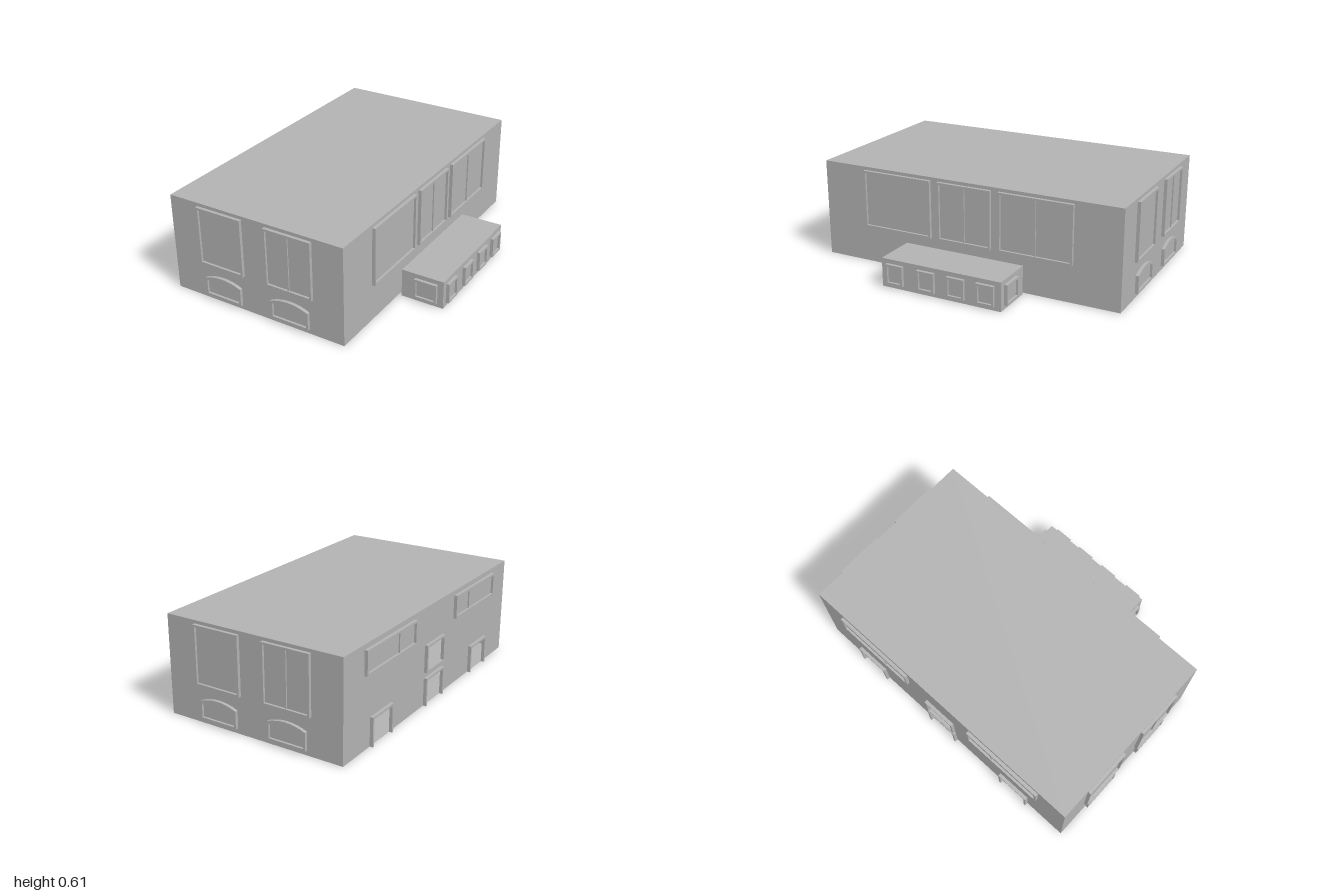
import * as THREE from 'three';

export function createModel() {
  const model = new THREE.Group();
  model.name = 'building';
  const grey = new THREE.MeshStandardMaterial({ color: 0xb2b2b2, side: THREE.DoubleSide });
  grey.name = 'plain grey';

  const X0 = -0.725, X1 = 0.43, Z = 0.98, H = 0.61, CX = (X0 + X1) / 2;
  const DEPTH = 0.02, RIM = 0.013;

  function add(parent, geometry, name, x = 0, y = 0, z = 0) {
    const mesh = new THREE.Mesh(geometry, grey);
    mesh.name = name;
    mesh.position.set(x, y, z);
    parent.add(mesh);
    return mesh;
  }

  // A side of the building: local x runs along it, local z points outwards
  function side(name, x, z, angle) {
    const g = new THREE.Group();
    g.name = name;
    g.position.set(x, 0, z);
    g.rotation.y = angle;
    model.add(g);
    return g;
  }

  // Outline with optional curved top
  function outline(Type, x0, x1, y0, y1, rise = 0) {
    const s = new Type();
    s.moveTo(x0, y0);
    s.lineTo(x1, y0);
    s.lineTo(x1, y1);
    if (rise) s.quadraticCurveTo((x0 + x1) / 2, y1 + rise * 2, x0, y1);
    else s.lineTo(x0, y1);
    s.closePath();
    return s;
  }

  const extrude = (shape, depth) =>
    new THREE.ExtrudeGeometry(shape, { depth, bevelEnabled: false, curveSegments: 8 });

  // Raised frame, with a pane and optional mullion
  function windowUnit(parent, name, c, w, y0, y1, { rise = 0, mullion = null, open = false } = {}) {
    const s = outline(THREE.Shape, c - w / 2, c + w / 2, y0, y1, rise);
    s.holes.push(outline(THREE.Path, c - w / 2 + RIM, c + w / 2 - RIM, y0 + RIM, y1 - RIM, rise));
    add(parent, extrude(s, DEPTH), name + 'Frame');
    if (!open) {
      const pane = outline(THREE.Shape, c - w / 2 + RIM, c + w / 2 - RIM, y0 + RIM, y1 - RIM, rise);
      add(parent, extrude(pane, 0.006), name + 'Pane');
    }
    if (mullion !== null) {
      add(parent, new THREE.BoxGeometry(0.008, y1 - y0 - 2 * RIM, 0.014),
        name + 'Mullion', mullion, (y0 + y1) / 2, 0.007);
    }
  }

  // Door surround: two posts and a lintel
  function doorFrame(parent, c, w, h) {
    for (const s of [-1, 1]) {
      add(parent, new THREE.BoxGeometry(RIM, h, DEPTH), 'doorPost',
        c + s * (w - RIM) / 2, h / 2, DEPTH / 2);
    }
    add(parent, new THREE.BoxGeometry(w - 2 * RIM, RIM, DEPTH), 'doorLintel', c, h - RIM / 2, DEPTH / 2);
  }

  // Thin wall with rectangular openings [centre, width, bottom, top]
  function wall(parent, half, openings) {
    const s = outline(THREE.Shape, -half, half, 0, H);
    for (const [c, w, y0, y1] of openings) {
      s.holes.push(outline(THREE.Path, c - w / 2, c + w / 2, y0, y1));
    }
    add(parent, new THREE.ShapeGeometry(s), 'wall');
  }

  // Roof and floor
  for (const [name, y, dir] of [['roof', H, -1], ['floor', 0, 1]]) {
    const slab = add(model, new THREE.PlaneGeometry(X1 - X0, 2 * Z), name, CX, y, 0);
    slab.rotation.x = dir * Math.PI / 2;
  }

  // Front and back ends share one layout
  for (const [name, z, angle] of [['frontSide', Z, 0], ['backSide', -Z, Math.PI]]) {
    const end = side(name, CX, z, angle);
    wall(end, (X1 - X0) / 2, []);
    for (const s of [-1, 1]) {
      const c = s * 0.23;
      windowUnit(end, 'tallWindow', c, 0.305, 0.23, 0.59, { mullion: s > 0 ? c : null });
      windowUnit(end, 'archedWindow', c, 0.25, 0.03, 0.14, { rise: 0.027 });
    }
  }

  // Left side: three large windows and two low doorways behind the annex
  const left = side('leftSide', X1, 0, Math.PI / 2);
  wall(left, Z, [-1, 1].map((s) => [s * 0.21, 0.054, 0.001, 0.112]));
  windowUnit(left, 'largeWindow', -0.458, 0.465, 0.23, 0.59);
  windowUnit(left, 'largeWindow', 0, 0.35, 0.23, 0.59, { mullion: 0 });
  windowUnit(left, 'largeWindow', 0.458, 0.465, 0.23, 0.59, { mullion: 0.458 });
  for (const s of [-1, 1]) doorFrame(left, s * 0.21, 0.08, 0.125);

  // Right side: three doorways, an opening above the middle one, two long windows
  const right = side('rightSide', X0, 0, -Math.PI / 2);
  const doors = [-0.605, 0, 0.595];
  const doorW = 0.22, doorH = 0.175;
  wall(right, Z, [
    ...doors.map((c) => [c, doorW - 2 * RIM, 0.001, doorH - RIM]),
    [0, doorW - 2 * RIM, 0.21 + RIM, 0.38 - RIM],
  ]);
  for (const c of doors) doorFrame(right, c, doorW, doorH);
  windowUnit(right, 'upperOpening', 0, doorW, 0.21, 0.38, { open: true });
  for (const s of [-1, 1]) {
    windowUnit(right, 'longWindow', s * 0.513, 0.535, 0.435, 0.58, { mullion: s * 0.43 });
  }

  // Low annex with four side windows and one at each end
  const A0 = 0.45, A1 = 0.72, AZ = 0.39, AH = 0.177, AX = (A0 + A1) / 2;
  add(model, new THREE.BoxGeometry(A1 - A0, AH, 2 * AZ), 'annex', AX, AH / 2, 0);
  const annexSide = side('annexSide', A1, 0, Math.PI / 2);
  for (const c of [-0.3, -0.09, 0.105, 0.295]) {
    windowUnit(annexSide, 'annexWindow', c, 0.113, 0.025, 0.15);
  }
  for (const s of [1, -1]) {
    const end = side('annexEnd', 0.61, s * AZ, s > 0 ? 0 : Math.PI);
    windowUnit(end, 'annexEndWindow', 0, 0.145, 0.025, 0.15);
  }

  return model;
}
